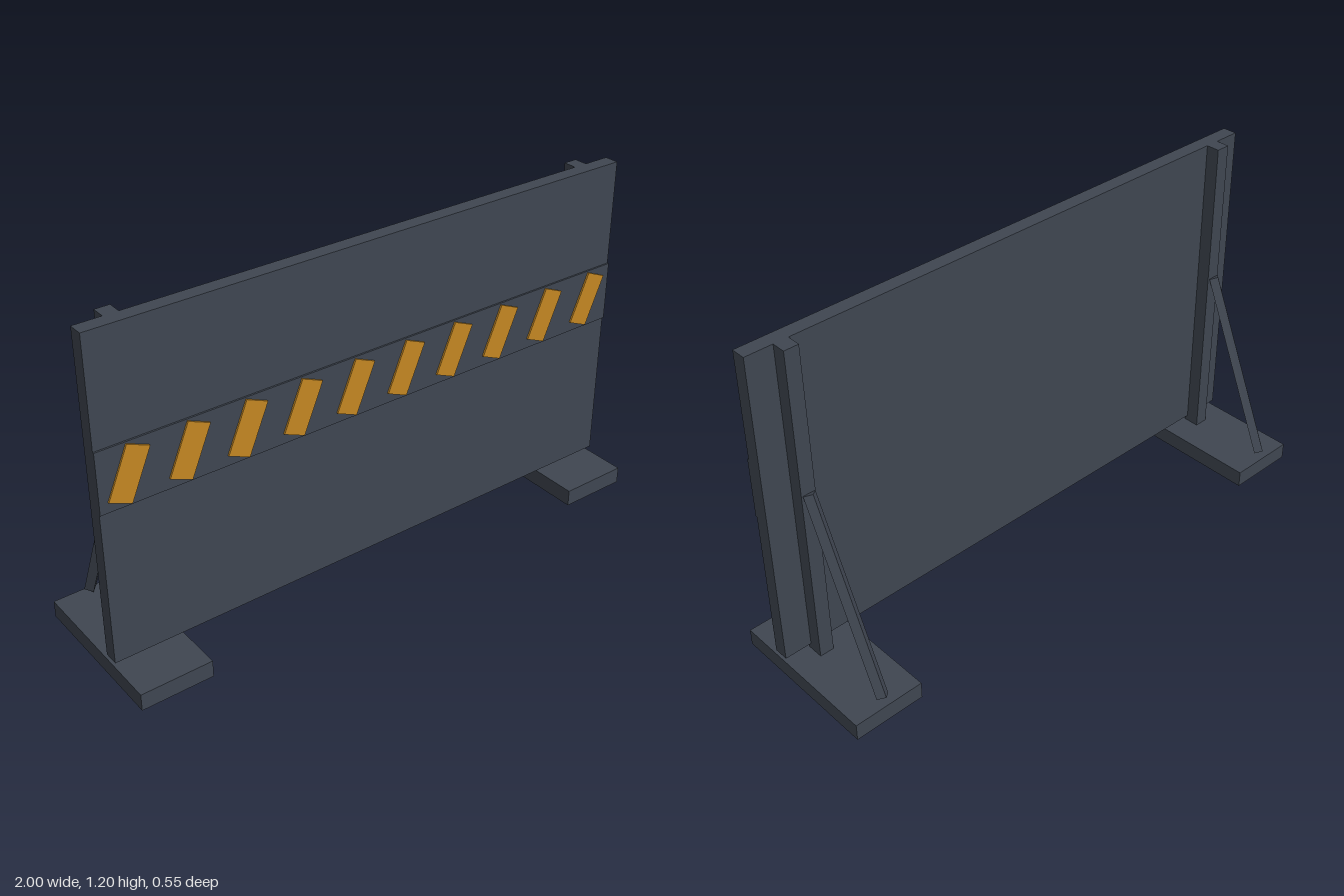
import * as THREE from 'three';

export function createModel() {
  const model = new THREE.Group();
  model.name = 'barrier';

  const slate = new THREE.MeshStandardMaterial({ color: 0x3f4651 });
  slate.name = 'slate grey';
  const amber = new THREE.MeshStandardMaterial({ color: 0xc48722 });
  amber.name = 'amber';

  const add = (name, geometry, material, x, y, z, parent = model) => {
    const mesh = new THREE.Mesh(geometry, material);
    mesh.name = name;
    mesh.position.set(x, y, z);
    parent.add(mesh);
    return mesh;
  };

  // Main board and the raised band across its front
  add('panel', new THREE.BoxGeometry(2, 1.12, 0.051), slate, 0, 0.64, 0.1015);
  add('band', new THREE.BoxGeometry(2, 0.21, 0.008), slate, 0, 0.725, 0.129);

  // Slanted warning stripes
  const stripes = new THREE.Group();
  stripes.name = 'stripes';
  model.add(stripes);
  const stripeGeometry = new THREE.BoxGeometry(0.08, 0.183, 0.008);
  for (let i = 0; i < 10; i++) {
    const stripe = add('stripe', stripeGeometry, amber, -0.9 + i * 0.2, 0.725, 0.135, stripes);
    stripe.rotation.z = -0.4;
  }

  // Diagonal brace: a square bar set on edge
  const braceTop = new THREE.Vector3(0, 0.7, 0.024);
  const braceFoot = new THREE.Vector3(0, 0.0785, -0.25);
  const braceAxis = braceTop.clone().sub(braceFoot);
  const braceMiddle = braceTop.clone().add(braceFoot).multiplyScalar(0.5);
  const braceGeometry = new THREE.CylinderGeometry(0.022, 0.022, braceAxis.length(), 4).toNonIndexed();
  braceGeometry.computeVertexNormals();

  // A foot, post and brace at each end
  for (const side of [-1, 1]) {
    const support = new THREE.Group();
    support.name = side > 0 ? 'leftSupport' : 'rightSupport';
    model.add(support);
    add('foot', new THREE.BoxGeometry(0.25, 0.06, 0.55), slate, side * 0.875, 0.03, 0, support);
    add('post', new THREE.BoxGeometry(0.05, 1.14, 0.058), slate, side * 0.88, 0.63, 0.057, support);
    const brace = add('brace', braceGeometry, slate, side * 0.88, braceMiddle.y, braceMiddle.z, support);
    brace.rotation.x = Math.atan2(braceAxis.z, braceAxis.y);
  }

  return model;
}
